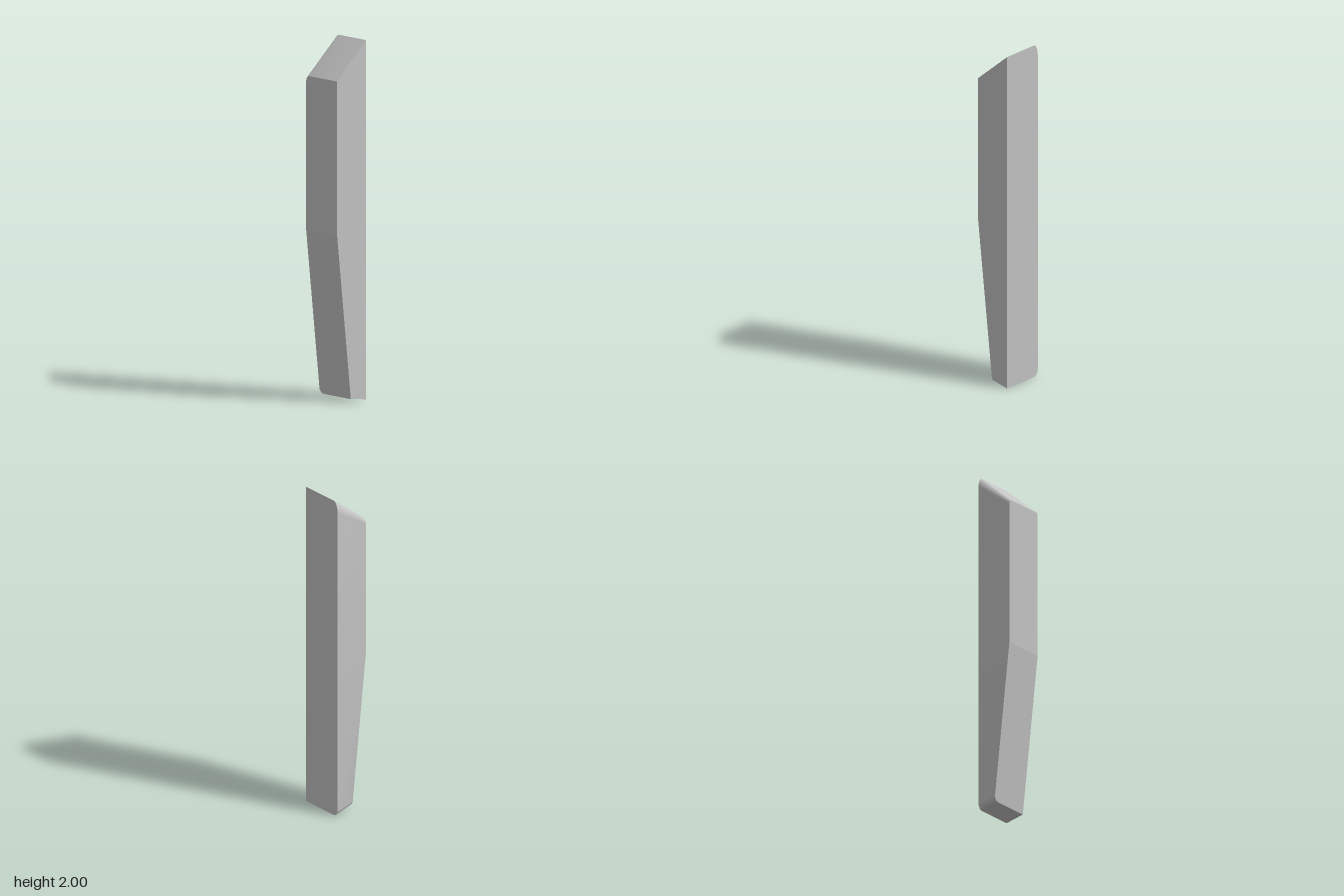
import * as THREE from 'three';
import { mergeGeometries, toCreasedNormals } from 'three/addons/utils/BufferGeometryUtils.js';

const W = 0.119, MID = 0.94, STEPS = 6;

// Outline in x/y, counter-clockwise, with rounded corners on the -x side only.
function outline(bottom, top, rTop, rBottom, zAt) {
  const pts = [[W, bottom], [W, MID], [W, top]];
  for (let i = 0; i <= STEPS; i++) {
    const a = (i / STEPS) * Math.PI / 2;
    pts.push([-W + rTop[0] * (1 - Math.sin(a)), top - rTop[1] * (1 - Math.cos(a))]);
  }
  pts.push([-W, MID]);
  for (let i = 0; i <= STEPS; i++) {
    const a = (i / STEPS) * Math.PI / 2;
    pts.push([-W + rBottom[0] * (1 - Math.cos(a)), bottom + rBottom[1] * (1 - Math.sin(a))]);
  }
  return pts.map(([x, y]) => new THREE.Vector3(x, y, zAt(y)));
}

function triangles(points) {
  const g = new THREE.BufferGeometry().setFromPoints(points);
  g.computeVertexNormals();
  return g;
}

function fan(points) {
  const out = [];
  for (let i = 1; i < points.length - 1; i++) out.push(points[0], points[i], points[i + 1]);
  return triangles(out);
}

export function createModel() {
  const group = new THREE.Group();
  group.name = 'bevelledPost';
  const grey = new THREE.MeshStandardMaterial({ color: 0xc4c4c4 });
  grey.name = 'lightGrey';

  // Front outline leans back below the middle; back outline is flat.
  const frontZ = y => (y >= MID ? 0.111 : 0.111 - 0.106 * (MID - y) / (MID - 0.017));
  const front = outline(0.017, 1.8, [0.022, 0.03], [0.03, 0.03], frontZ);
  const back = outline(0, 2, [0.03, 0.07], [0.03, 0.04], () => -0.111);

  // Rim joining the two outlines: sides, sloped top and base
  const rim = [];
  front.forEach((f, i) => {
    const j = (i + 1) % front.length;
    rim.push(f, back[i], back[j], f, back[j], front[j]);
  });

  // Flat upper front, tapered lower front and flat back
  const leftMid = 4 + STEPS;
  const upper = front.slice(1, leftMid + 1);
  const lower = [front[0], front[1], ...front.slice(leftMid)];
  const parts = [
    toCreasedNormals(triangles(rim), 0.5),
    fan(upper),
    fan(lower),
    fan([...back].reverse()),
  ];

  const body = new THREE.Mesh(mergeGeometries(parts), grey);
  body.name = 'postBody';
  group.add(body);
  return group;
}
